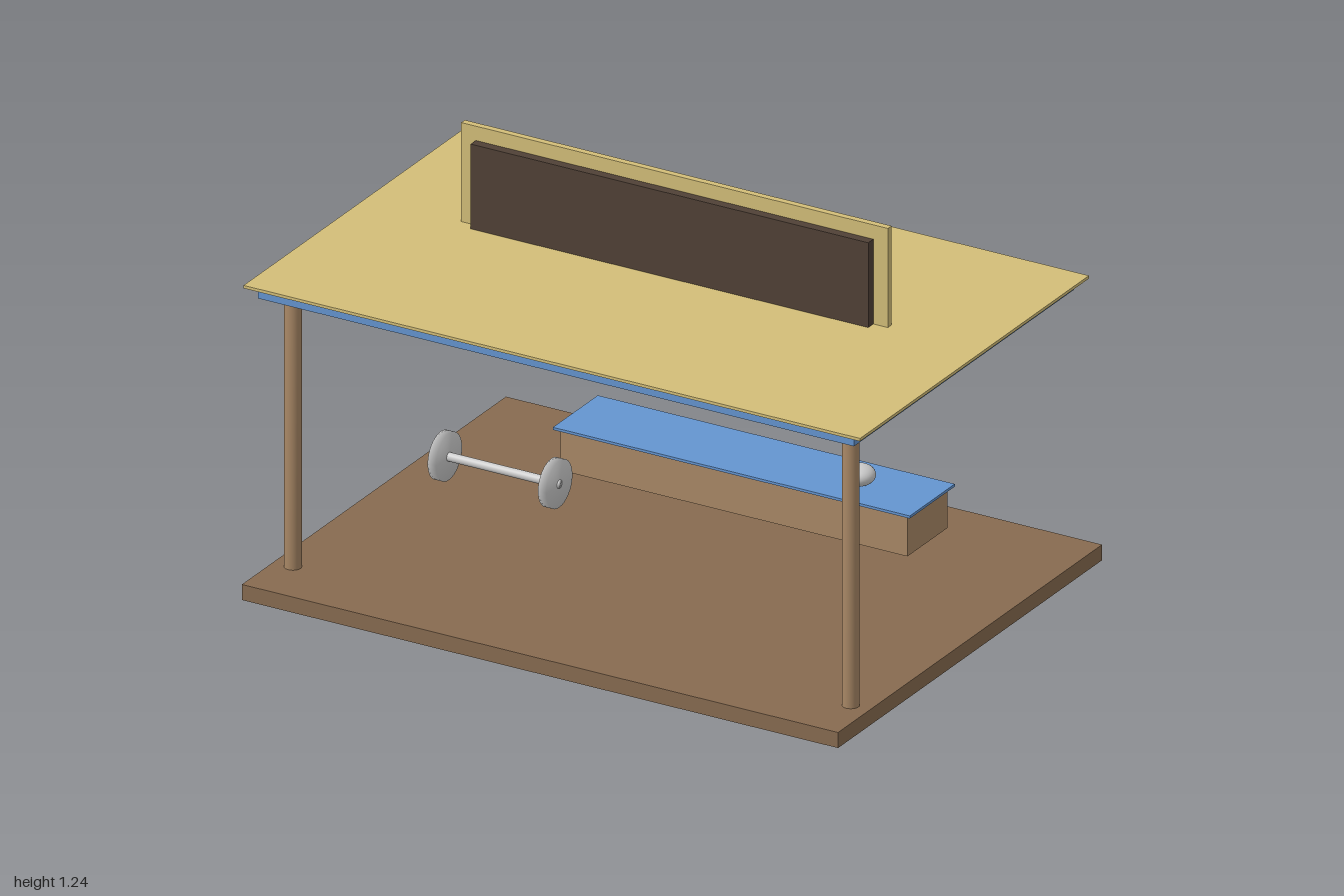
import * as THREE from 'three';
import { mergeVertices } from 'three/addons/utils/BufferGeometryUtils.js';

const paint = (color) => new THREE.MeshStandardMaterial({ color });
const soil = paint(0x876b50);
const wood = paint(0xa98866);
const blue = paint(0x6495d0);
const straw = paint(0xd3be78);
const dark = paint(0x504136);
const metal = paint(0xcccccc);

// Box given by its lower and upper bounds on each axis
function slab(name, material, [x0, x1], [y0, y1], [z0, z1]) {
  const mesh = new THREE.Mesh(new THREE.BoxGeometry(x1 - x0, y1 - y0, z1 - z0), material);
  mesh.position.set((x0 + x1) / 2, (y0 + y1) / 2, (z0 + z1) / 2);
  mesh.name = name;
  return mesh;
}

// Cylinder whose normals blend softly over the rim
function rod(name, material, radius, length) {
  const raw = new THREE.CylinderGeometry(radius, radius, length, 32);
  raw.deleteAttribute('normal');
  raw.deleteAttribute('uv');
  const geometry = mergeVertices(raw);
  geometry.computeVertexNormals();
  const mesh = new THREE.Mesh(geometry, material);
  mesh.name = name;
  return mesh;
}

// Two weights joined by a bar along x
function createDumbbell() {
  const dumbbell = new THREE.Group();
  dumbbell.name = 'dumbbell';
  const bar = rod('dumbbellBar', metal, 0.013, 0.388);
  bar.rotation.z = Math.PI / 2;
  dumbbell.add(bar);
  for (const side of [-1, 1]) {
    const weight = rod('dumbbellWeight', metal, 0.072, 0.027);
    weight.rotation.z = Math.PI / 2;
    weight.position.x = side * 0.179;
    dumbbell.add(weight);
  }
  dumbbell.position.set(-0.519, 0.245, 0.066);
  return dumbbell;
}

export function createModel() {
  const model = new THREE.Group();
  model.name = 'openShelter';

  // Floor
  model.add(slab('floor', soil, [-0.967, 0.967], [0, 0.048], [-0.725, 0.725]));

  // Front posts
  for (const side of [-1, 1]) {
    const post = rod('post', wood, 0.025, 0.845);
    post.position.set(side * 0.905, 0.47, 0.55);
    model.add(post);
  }

  // Ceiling and roof
  model.add(slab('ceiling', blue, [-0.967, 0.967], [0.894, 0.919], [-0.571, 0.638]));
  model.add(slab('roof', straw, [-1, 1], [0.926, 0.935], [-0.597, 0.66]));

  // Sign standing on the roof
  model.add(slab('signBacking', straw, [-0.692, 0.692], [0.92, 1.24], [-0.034, -0.014]));
  model.add(slab('signPanel', dark, [-0.645, 0.645], [0.935, 1.196], [-0.014, 0.014]));

  // Bench with its mat
  model.add(slab('bench', wood, [-0.563, 0.563], [0.07, 0.195], [-0.561, -0.34]));
  model.add(slab('benchMat', blue, [-0.579, 0.579], [0.196, 0.204], [-0.573, -0.326]));

  // Flattened ball on the bench
  const ball = new THREE.Mesh(new THREE.SphereGeometry(0.045, 32, 20), metal);
  ball.name = 'ball';
  ball.scale.y = 0.68;
  ball.position.set(0.354, 0.236, -0.433);
  model.add(ball);

  model.add(createDumbbell());
  return model;
}
